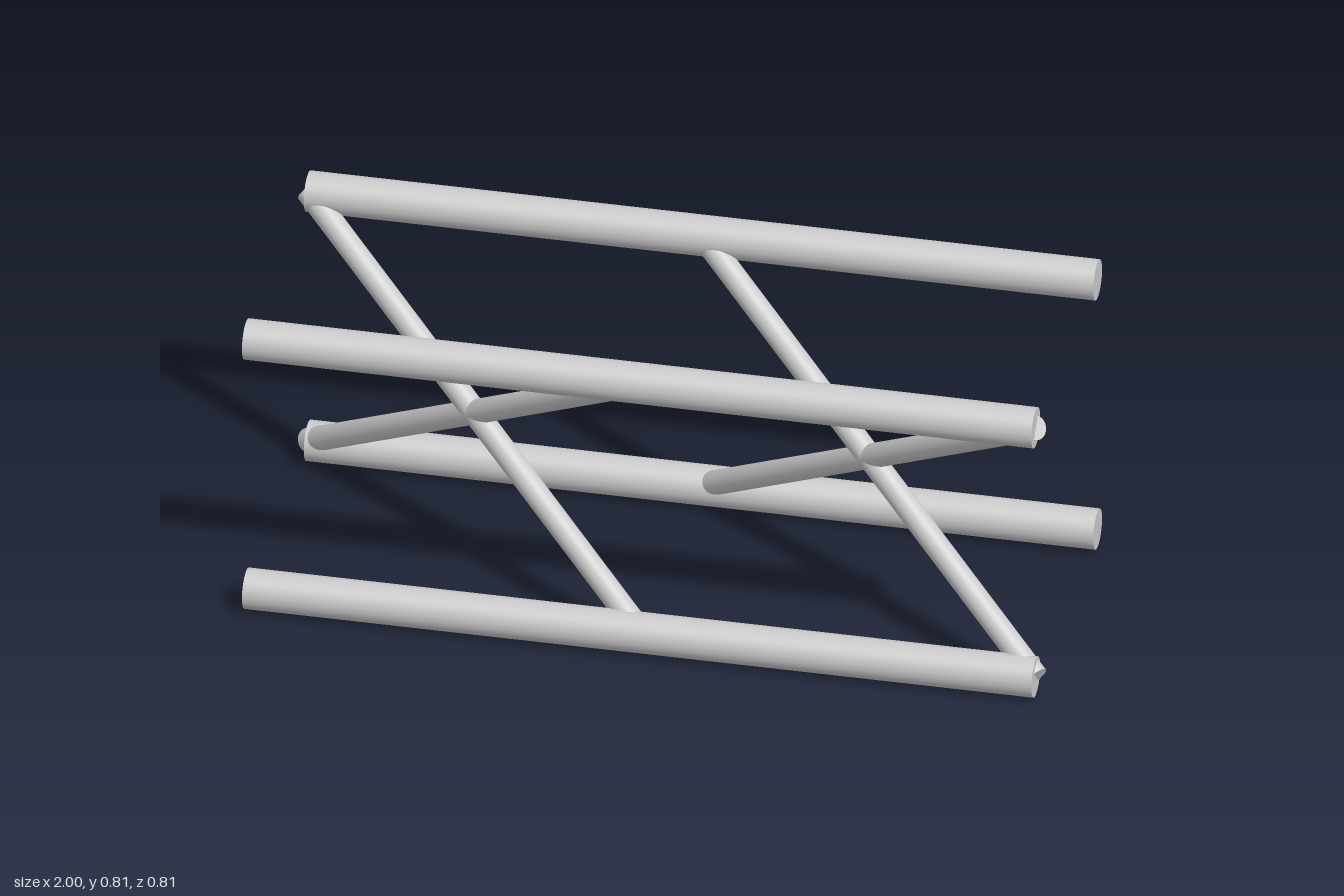
import * as THREE from 'three';

const HALF = 0.978;     // half length of the rails
const RAIL_R = 0.0505;
const BRACE_R = 0.0305;
const OFF = 0.353;      // rail distance from the centre line, in y and z
const MID = RAIL_R + OFF;

export function createModel() {
  const model = new THREE.Group();
  model.name = 'crossBracedFrame';
  const material = new THREE.MeshStandardMaterial({ color: 0xcccccc });
  const up = new THREE.Vector3(0, 1, 0);

  // Capped round bar between two points
  function bar(name, a, b, radius) {
    const dir = b.clone().sub(a);
    const mesh = new THREE.Mesh(new THREE.CylinderGeometry(radius, radius, dir.length(), 48), material);
    mesh.name = name;
    mesh.position.copy(a).add(b).multiplyScalar(0.5);
    mesh.quaternion.setFromUnitVectors(up, dir.normalize());
    model.add(mesh);
  }
  const point = (x, sy, sz) => new THREE.Vector3(x, MID + sy * OFF, sz * OFF);

  for (const sy of [-1, 1]) {
    const level = sy < 0 ? 'lower' : 'upper';

    // Long parallel rails at the four corners
    for (const sz of [-1, 1]) {
      bar(level + (sz < 0 ? 'Back' : 'Front') + 'Rail', point(-HALF, sy, sz), point(HALF, sy, sz), RAIL_R);
    }

    // Diagonal braces, running from back rail to opposite front rail and crossing in pairs
    for (const x of [-HALF, 0]) {
      bar((x < 0 ? 'right' : 'left') + (sy < 0 ? 'Rising' : 'Falling') + 'Brace',
        point(x, sy, -1), point(x + HALF, -sy, 1), BRACE_R);
    }
  }
  return model;
}
